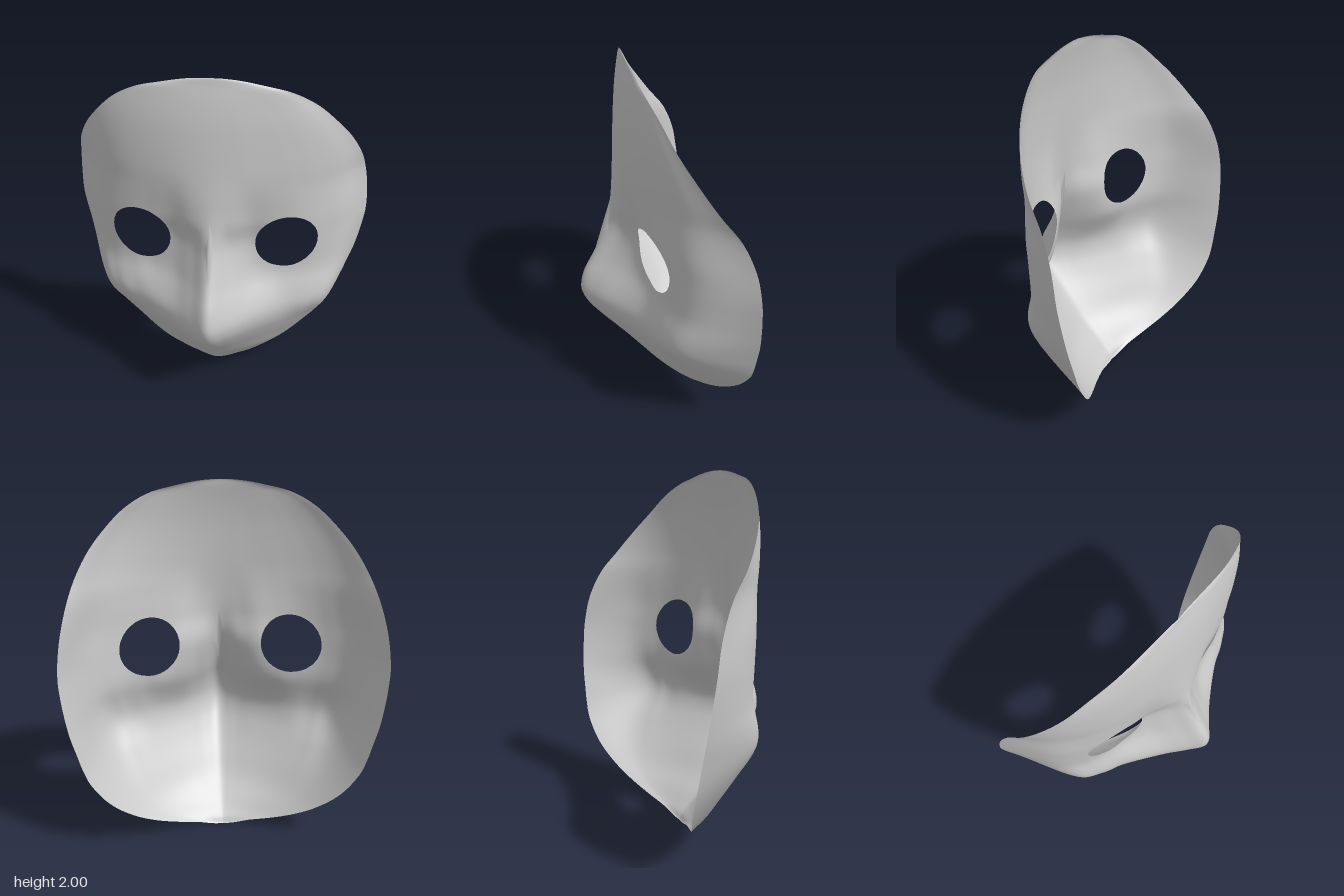
import * as THREE from 'three';

// Rim and midline: height, half width, rim depth, midline depth
const PROFILE = [
  [2, 0, 0.12, 0.12], [1.97, 0.24, 0.105, 0.127], [1.94, 0.365, 0.09, 0.133],
  [1.87, 0.5, 0.05, 0.147], [1.77, 0.61, 0, 0.162], [1.66, 0.7, -0.07, 0.173],
  [1.53, 0.77, -0.16, 0.184], [1.4, 0.812, -0.26, 0.196], [1.24, 0.845, -0.33, 0.212],
  [1.08, 0.86, -0.363, 0.24], [0.97, 0.853, -0.377, 0.283], [0.87, 0.84, -0.387, 0.33],
  [0.76, 0.82, -0.396, 0.385], [0.65, 0.79, -0.4, 0.405], [0.56, 0.765, -0.402, 0.375],
  [0.47, 0.73, -0.4, 0.31], [0.33, 0.64, -0.37, 0.19], [0.21, 0.52, -0.31, 0.09],
  [0.13, 0.4, -0.25, 0], [0.07, 0.27, -0.19, -0.06], [0.03, 0.14, -0.145, -0.1],
  [0, 0, -0.12, -0.12],
];

// Cross-sections: height, then relief (1 = midline, 0 = rim) at each of SIDE
const SIDE = [0, 0.12, 0.25, 0.4, 0.55, 0.7, 0.85, 1];
const RELIEF = [
  [2, 1, 0.985, 0.94, 0.86, 0.74, 0.58, 0.35, 0],
  [1.53, 1, 0.985, 0.945, 0.87, 0.77, 0.62, 0.38, 0],
  [1.24, 1, 0.955, 0.865, 0.815, 0.75, 0.63, 0.43, 0],
  [1.08, 1, 0.88, 0.777, 0.744, 0.694, 0.6, 0.405, 0],
  [0.87, 1, 0.875, 0.735, 0.65, 0.61, 0.54, 0.39, 0],
  [0.65, 1, 0.92, 0.814, 0.715, 0.627, 0.56, 0.43, 0],
  [0.47, 1, 0.94, 0.845, 0.74, 0.634, 0.52, 0.366, 0],
  [0.21, 1, 0.95, 0.87, 0.77, 0.65, 0.5, 0.3, 0],
  [0, 1, 0.95, 0.87, 0.77, 0.65, 0.5, 0.3, 0],
];

const EYE = { x: 0.405, y: 1.075, r: 0.17 };
const ROWS = 100, COLS = 100;

const angleOf = (y) => Math.acos(THREE.MathUtils.clamp(y - 1, -1, 1));

// Smooth curve through (xs, ys); level at the start when flat is set
function curve(xs, ys, flat = false) {
  const last = xs.length - 1;
  const slope = xs.map((_, i) => {
    if (flat && i === 0) return 0;
    const a = Math.max(i - 1, 0), b = Math.min(i + 1, last);
    return (ys[b] - ys[a]) / (xs[b] - xs[a]);
  });
  return (x) => {
    let i = 0;
    while (i < last - 1 && x > xs[i + 1]) i++;
    const h = xs[i + 1] - xs[i], s = (x - xs[i]) / h, s2 = s * s, s3 = s2 * s;
    return (2 * s3 - 3 * s2 + 1) * ys[i] + (s3 - 2 * s2 + s) * h * slope[i]
      + (3 * s2 - 2 * s3) * ys[i + 1] + (s3 - s2) * h * slope[i + 1];
  };
}

const columns = (table) => {
  const angles = table.map((row) => angleOf(row[0]));
  return table[0].slice(1).map((_, k) => curve(angles, table.map((row) => row[k + 1])));
};

function maskGeometry() {
  const [halfWidth, rim, midline] = columns(PROFILE);
  const relief = columns(RELIEF);

  const depth = (x, y) => {
    const a = angleOf(y), w = halfWidth(a);
    const t = w > 1e-6 ? Math.min(Math.abs(x) / w, 1) : 0;
    const f = curve(SIDE, relief.map((c) => c(a)), true)(t);
    return rim(a) + (midline(a) - rim(a)) * f;
  };

  const positions = [], inEye = [], index = [];
  for (let i = 0; i <= ROWS; i++) {
    const a = (Math.PI * i) / ROWS;
    for (let j = 0; j <= COLS; j++) {
      let x = halfWidth(a) * ((2 * j) / COLS - 1);
      let y = 1 + Math.cos(a);
      // Points inside an eye are moved out to its edge
      const cx = Math.sign(x) * EYE.x;
      const d = Math.hypot(x - cx, y - EYE.y);
      const inside = d < EYE.r;
      if (inside && d > 1e-6) {
        x = cx + ((x - cx) * EYE.r) / d;
        y = EYE.y + ((y - EYE.y) * EYE.r) / d;
      }
      inEye.push(inside);
      positions.push(x, y, depth(x, y));
    }
  }

  // Triangles lying wholly inside an eye are left out
  const addTriangle = (...t) => {
    if (!t.every((v) => inEye[v])) index.push(...t);
  };
  for (let i = 0; i < ROWS; i++) {
    for (let j = 0; j < COLS; j++) {
      const a = i * (COLS + 1) + j, b = a + COLS + 1;
      if (i < ROWS - 1) addTriangle(a, b, b + 1);
      if (i > 0) addTriangle(a, b + 1, a + 1);
      else if (i === ROWS - 1) addTriangle(a, b, a + 1);
      if (i === ROWS - 1) addTriangle(a, b, a + 1);
    }
  }

  const geometry = new THREE.BufferGeometry();
  geometry.setAttribute('position', new THREE.Float32BufferAttribute(positions, 3));
  geometry.setIndex(index);
  geometry.computeVertexNormals();
  return geometry;
}

export function createModel() {
  const group = new THREE.Group();
  group.name = 'mask';
  const face = new THREE.Mesh(
    maskGeometry(),
    new THREE.MeshStandardMaterial({ color: 0xcccccc, side: THREE.DoubleSide }),
  );
  face.name = 'faceShell';
  group.add(face);
  return group;
}
